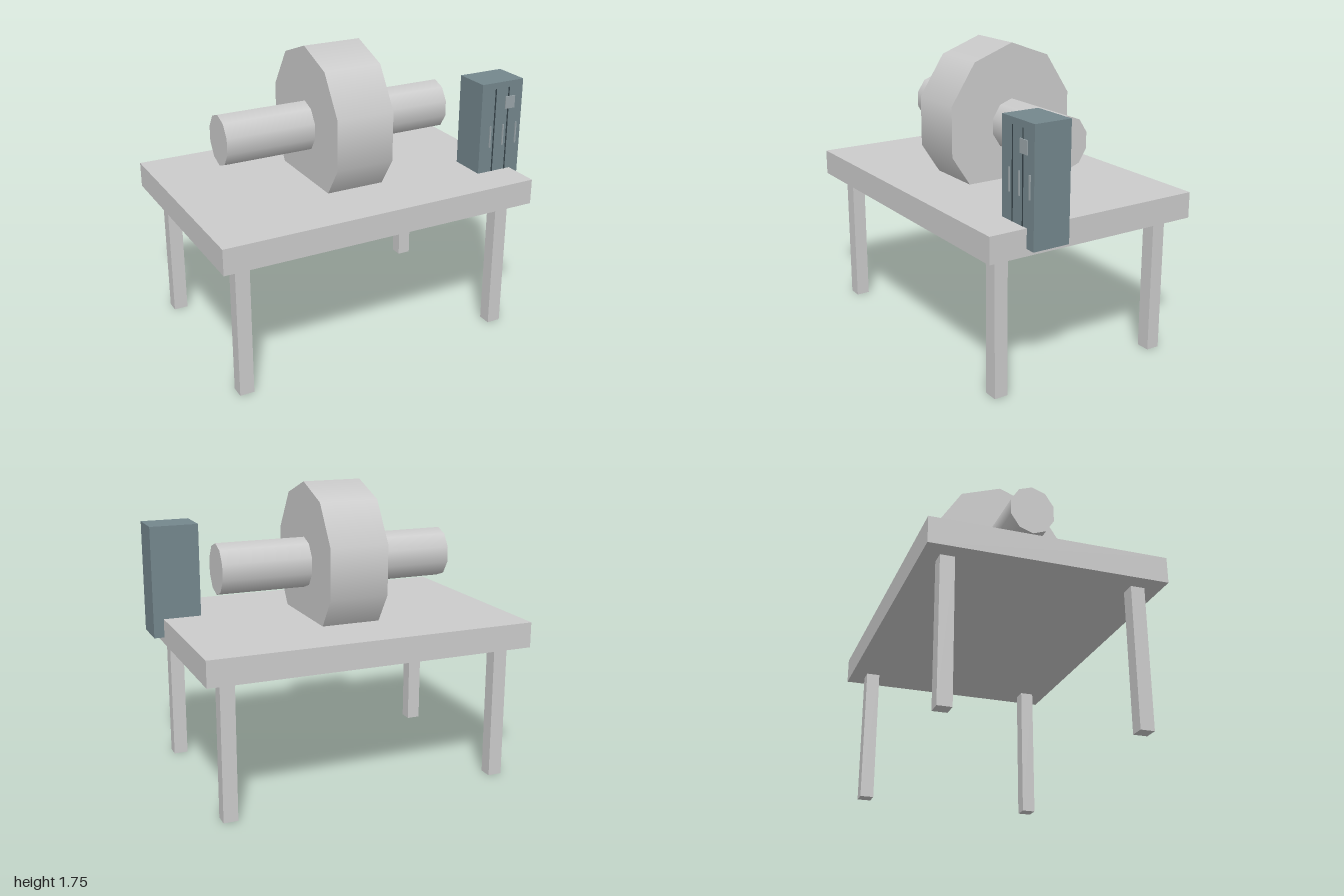
import * as THREE from 'three';

export function createModel() {
  const model = new THREE.Group();
  const mat = (color) => new THREE.MeshStandardMaterial({ color });
  const grey = mat(0xcccccc);
  const steel = mat(0x74878d);
  const dark = mat(0x37444a);
  const light = mat(0x9aa5a9);

  // box from its minimum and maximum on each axis
  function box(name, x0, x1, y0, y1, z0, z1, material = grey, parent = model) {
    const mesh = new THREE.Mesh(new THREE.BoxGeometry(x1 - x0, y1 - y0, z1 - z0), material);
    mesh.position.set((x0 + x1) / 2, (y0 + y1) / 2, (z0 + z1) / 2);
    mesh.name = name;
    parent.add(mesh);
  }

  // ten-sided, slightly tall drum lying along x, with a corner at the top
  function drum(name, x0, x1, ry, rz) {
    const geo = new THREE.CylinderGeometry(1, 1, x1 - x0, 10);
    geo.rotateZ(Math.PI / 2);
    geo.rotateX(Math.PI / 2);
    geo.scale(1, ry, rz);
    const pos = geo.attributes.position;
    // turn so that one corner points straight up
    const turn = Math.PI / 2 - Math.atan2(pos.getY(0) / ry, pos.getZ(0) / rz);
    geo.scale(1, 1 / ry, 1 / rz).rotateX(-turn).scale(1, ry, rz);
    const mesh = new THREE.Mesh(geo, grey);
    mesh.position.set((x0 + x1) / 2, 1.28, 0);
    mesh.name = name;
    model.add(mesh);
  }

  // table
  box('tableTop', -1, 0.94, 0.81, 0.96, -0.665, 0.665);
  for (const x of [-0.86, 0.803])
    for (const z of [-0.532, 0.532])
      box('tableLeg', x - 0.042, x + 0.042, 0, 0.81, z - 0.04, z + 0.04);

  // wheel and the shaft through it
  drum('wheel', -0.205, 0.145, 0.47, 0.42);
  drum('shaft', -0.74, 0.68, 0.149, 0.133);

  // control cabinet over the table edge
  const cabinet = new THREE.Group();
  cabinet.name = 'cabinet';
  model.add(cabinet);
  box('cabinetBody', 0.715, 1, 0.85, 1.507, 0.22, 0.442, steel, cabinet);
  for (const x of [0.81, 0.902])
    box('doorSeam', x - 0.004, x + 0.004, 0.885, 1.47, 0.43, 0.444, dark, cabinet);
  for (const x of [0.784, 0.874, 0.966])
    box('doorHandle', x - 0.004, x + 0.004, 1.115, 1.245, 0.43, 0.449, light, cabinet);
  box('displayPanel', 0.88, 0.945, 1.34, 1.415, 0.43, 0.449, light, cabinet);

  return model;
}
